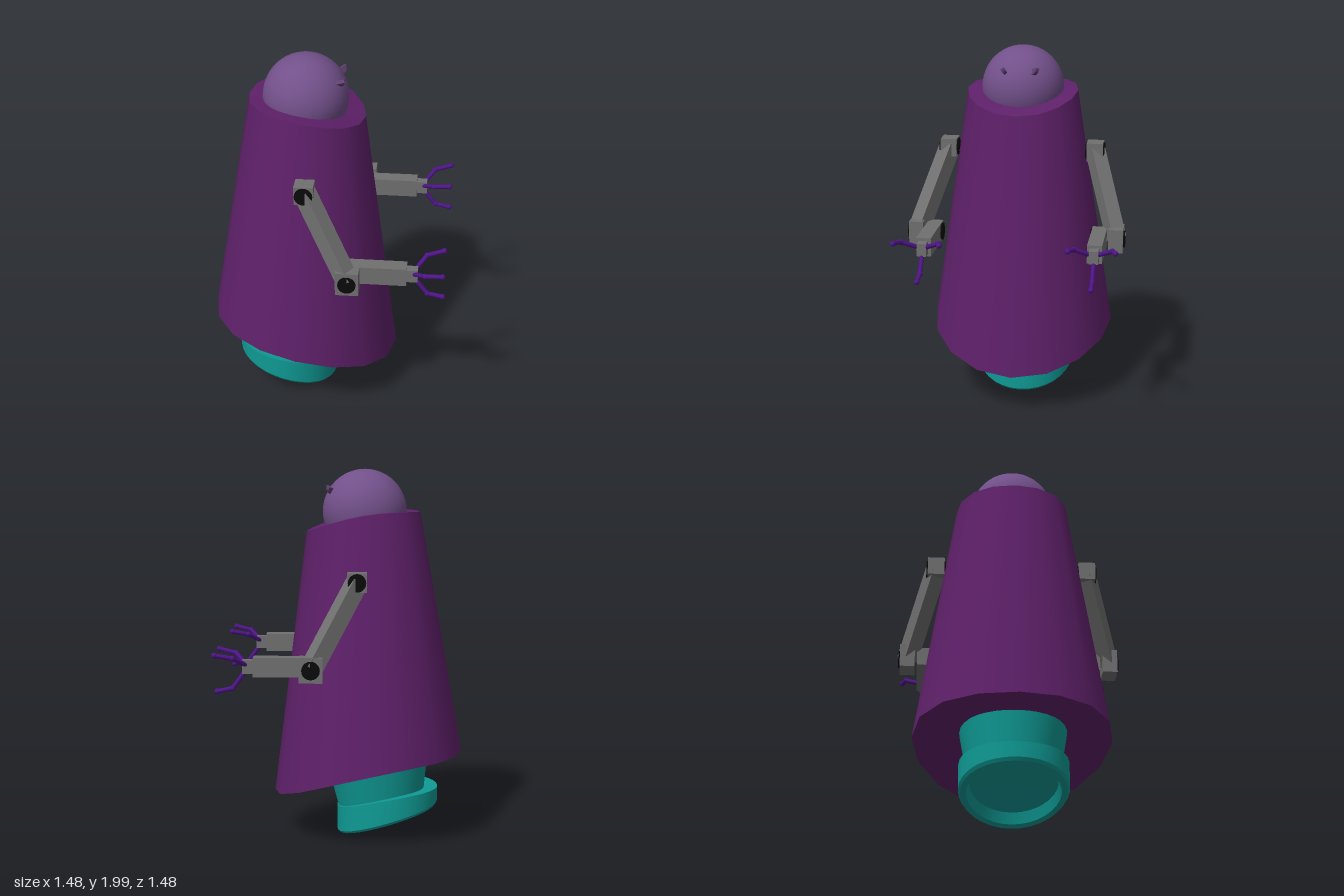
import * as THREE from 'three';
import { mergeGeometries, mergeVertices } from 'three/addons/utils/BufferGeometryUtils.js';

const paint = (color) => new THREE.MeshStandardMaterial({ color });
const robeMat = paint(0x5e2069), headMat = paint(0x72508a), eyeMat = paint(0x60416f), footMat = paint(0x0f9a94);
const armMat = paint(0x707070), jointMat = paint(0x0a0a0a), fingerMat = paint(0x4f1488);

function add(parent, name, geometry, material, x = 0, y = 0, z = 0) {
  const mesh = new THREE.Mesh(geometry, material);
  mesh.name = name;
  mesh.position.set(x, y, z);
  parent.add(mesh);
  return mesh;
}

// Rings [radius, y, centre z, forward slope, droop], from bottom centre outwards and up.
// Each strip is smooth in itself and sharp against the next one.
function loft(rings, sides) {
  const strips = [];
  for (let i = 0; i < rings.length - 1; i++) {
    const g = new THREE.CylinderGeometry(1, 1, 2, sides, 1, true);
    const p = g.attributes.position;
    for (let k = 0; k < p.count; k++) {
      const [r, y, cz, slope, droop] = rings[p.getY(k) > 0 ? i + 1 : i];
      const s = p.getZ(k) * r;
      p.setXYZ(k, p.getX(k) * r, y - slope * s - droop * s * s, cz + s);
    }
    g.deleteAttribute('uv');
    g.deleteAttribute('normal');
    const welded = mergeVertices(g, 1e-5);
    welded.computeVertexNormals();
    strips.push(welded);
  }
  return mergeGeometries(strips);
}

// Bar between two points
function bar(parent, name, a, b, w, h, material) {
  const from = new THREE.Vector3(...a), to = new THREE.Vector3(...b);
  const mesh = add(parent, name, new THREE.BoxGeometry(w, h, from.distanceTo(to)), material);
  mesh.position.copy(from).lerp(to, 0.5);
  mesh.lookAt(to);
}

function finger(parent, points) {
  const path = new THREE.CurvePath();
  const v = points.map((p) => new THREE.Vector3(...p));
  path.add(new THREE.LineCurve3(v[0], v[1]));
  path.add(new THREE.LineCurve3(v[1], v[2]));
  add(parent, 'finger', new THREE.TubeGeometry(path, 12, 0.012, 8), fingerMat);
  for (const q of [v[1], v[2]]) {
    add(parent, 'fingerJoint', new THREE.SphereGeometry(0.015, 10, 8), fingerMat, q.x, q.y, q.z);
  }
}

function joint(parent, x, y, z, r) {
  const disc = add(parent, 'jointDisc', new THREE.CylinderGeometry(r, r, 0.012, 20), jointMat, x, y, z);
  disc.rotation.z = Math.PI / 2;
}

function makeArm(side) {
  const arm = new THREE.Group();
  arm.name = side > 0 ? 'leftArm' : 'rightArm';
  const sx = side * 0.407, ex = side * 0.548, fx = side * 0.456;

  // Shoulder, slanting upper arm and elbow
  add(arm, 'shoulder', new THREE.BoxGeometry(0.09, 0.1, 0.1), armMat, sx, 1.43, -0.262);
  bar(arm, 'upperArm', [sx, 1.43, -0.262], [ex, 1.0, -0.032], 0.08, 0.09, armMat);
  add(arm, 'elbow', new THREE.BoxGeometry(0.08, 0.13, 0.12), armMat, ex, 1.0, -0.032);
  for (const k of [-1, 1]) joint(arm, sx + k * 0.046, 1.43, -0.262, 0.047);
  joint(arm, ex + side * 0.042, 1.0, -0.032, 0.047);

  // Level forearm on the inner side of the elbow
  add(arm, 'forearm', new THREE.BoxGeometry(0.08, 0.1, 0.348), armMat, fx, 1.0, 0.094);
  joint(arm, fx - side * 0.042, 1.0, -0.032, 0.047);
  add(arm, 'wrist', new THREE.BoxGeometry(0.05, 0.07, 0.06), armMat, fx, 1.0, 0.295);

  // Two upper fingers and one lower finger
  for (const k of [-1, 1]) {
    finger(arm, [[fx + k * 0.015, 1.01, 0.305], [fx + k * 0.1, 1.055, 0.367], [fx + k * 0.122, 1.073, 0.455]]);
  }
  finger(arm, [[fx, 0.98, 0.305], [fx, 0.885, 0.375], [fx, 0.868, 0.455]]);
  return arm;
}

export function createModel() {
  const model = new THREE.Group();
  model.name = 'robedRobot';
  const body = new THREE.Group();
  body.name = 'body';
  body.rotation.y = Math.PI * 0.75; // the figure looks along +x, -z
  model.add(body);

  // Conical robe with drooping front rims
  const hem = [0.51, 0.43, -0.322, 0.23, 0.28], collar = [0.305, 1.76, -0.29, 0.175, 0.42];
  add(body, 'robe', loft([
    [0.001, 0.43, -0.322, 0.23, 0], hem, collar, [0.001, 1.76, -0.29, 0.175, 0],
  ], 16), robeMat);

  // Head with slanted half-round eyes
  add(body, 'head', new THREE.SphereGeometry(0.225, 32, 24), headMat, 0, 1.775, -0.297);
  for (const k of [-1, 1]) {
    const shape = new THREE.Shape();
    shape.absarc(0, 0, 0.034, Math.PI, Math.PI * 2, false);
    shape.closePath();
    const geo = new THREE.ExtrudeGeometry(shape, { depth: 0.02, bevelEnabled: false, curveSegments: 10 });
    geo.translate(0, 0.012, -0.014);
    geo.rotateZ(k * 0.3);
    const out = new THREE.Vector3(k * 0.078, 0.115, 0.177);
    const eye = add(body, 'eye', geo, eyeMat, out.x, 1.775 + out.y, -0.297 + out.z);
    eye.lookAt(eye.position.clone().add(out));
  }

  // Tapered leg and base with a recessed underside
  add(body, 'leg', loft([
    [0.235, 0.23, -0.396, 0.2, 0.42], [0.275, 0.46, -0.378, 0.23, 0.28],
  ], 32), footMat);
  add(body, 'footBase', loft([
    [0.001, 0.16, -0.43, 0.3, 0], [0.22, 0.16, -0.43, 0.3, 0.2], [0.235, 0.11, -0.431, 0.31, 0.2],
    [0.265, 0.11, -0.431, 0.31, 0.2], [0.275, 0.125, -0.431, 0.31, 0.2],
    [0.275, 0.25, -0.431, 0.2, 0.42], [0.001, 0.25, -0.431, 0.2, 0],
  ], 32), footMat);

  // Mirrored arms
  for (const side of [-1, 1]) body.add(makeArm(side));
  return model;
}
